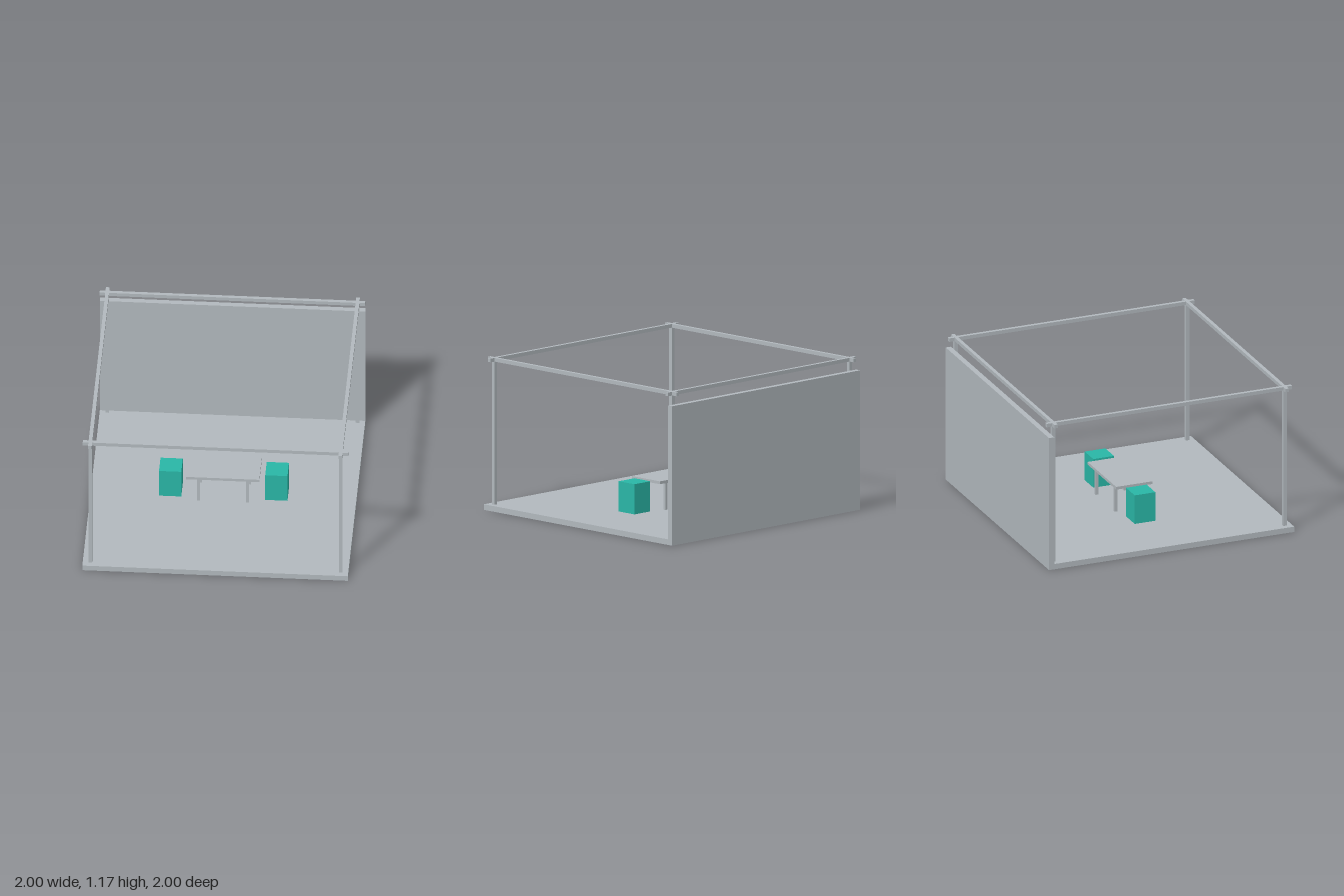
import * as THREE from 'three';

export function createModel() {
  const model = new THREE.Group();
  model.name = 'exhibitionBooth';

  const grey = new THREE.MeshStandardMaterial({ color: 0xb2b9be });
  grey.name = 'lightGrey';
  const teal = new THREE.MeshStandardMaterial({ color: 0x2ab7a7 });
  teal.name = 'teal';

  // Box given by its size, its centre in x and z, and its underside
  const addBox = (parent, name, material, [w, h, d], x, bottom, z) => {
    const mesh = new THREE.Mesh(new THREE.BoxGeometry(w, h, d), material);
    mesh.name = name;
    mesh.position.set(x, bottom + h / 2, z);
    parent.add(mesh);
  };
  const addGroup = (name) => {
    const group = new THREE.Group();
    group.name = name;
    model.add(group);
    return group;
  };

  // Floor slab and back wall
  const floor = 0.043;
  addBox(model, 'floor', grey, [2, floor, 2], 0, 0, 0);
  addBox(model, 'backWall', grey, [2, 1.025, floor], 0, floor, -1 + floor / 2);

  // Open frame: four posts carrying crossing beams that overrun the corners
  const frame = addGroup('frame');
  const bar = 0.028;
  const reach = 0.943;
  const beamBottom = 1.139;
  for (const s of [-1, 1]) {
    for (const t of [-1, 1]) {
      addBox(frame, 'post', grey, [bar, beamBottom - floor, bar], s * reach, floor, t * reach);
    }
    addBox(frame, 'crossBeam', grey, [2, bar, bar], 0, beamBottom, s * reach);
    addBox(frame, 'sideBeam', grey, [bar, bar, 2], s * reach, beamBottom, 0);
  }

  // Table with four square legs
  const table = addGroup('table');
  const topBottom = 0.254;
  addBox(table, 'tableTop', grey, [0.552, 0.022, 0.295], 0, topBottom, 0);
  for (const s of [-1, 1]) {
    for (const t of [-1, 1]) {
      addBox(table, 'tableLeg', grey, [0.022, topBottom - floor, 0.022], s * 0.185, floor, t * 0.115);
    }
  }

  // Block stools at both ends of the table
  for (const [name, s] of [['rightStool', -1], ['leftStool', 1]]) {
    addBox(model, name, teal, [0.168, 0.231, 0.168], s * 0.4, floor, 0);
  }

  return model;
}
